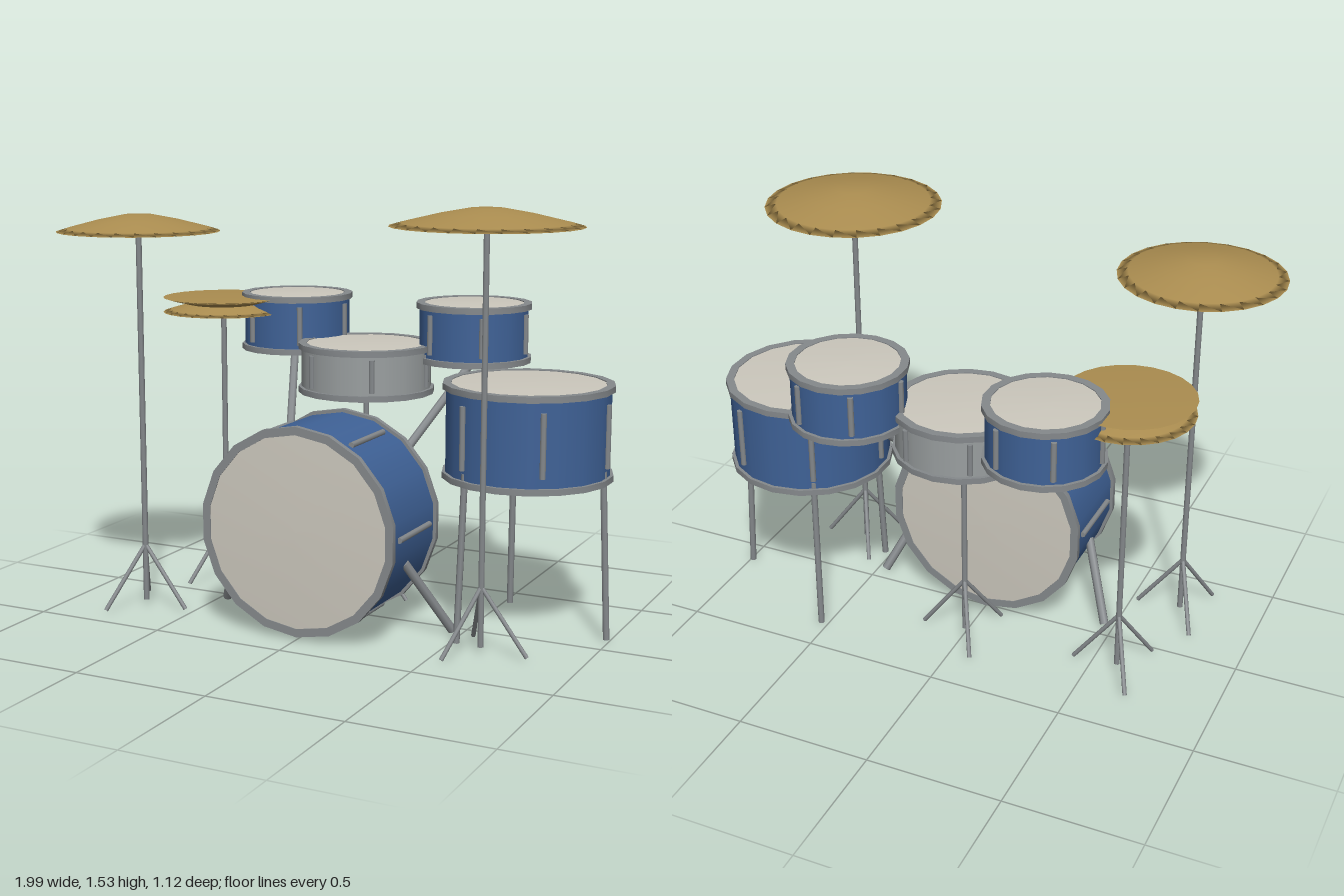
import * as THREE from 'three';
import { toCreasedNormals } from 'three/addons/utils/BufferGeometryUtils.js';

const mat = (name, color) => {
  const m = new THREE.MeshStandardMaterial({ color });
  m.name = name;
  return m;
};
const V = (x, y, z) => new THREE.Vector3(x, y, z);
const SIDES = 18;

export function createModel() {
  const blue = mat('blue shell', 0x3f6297);
  const steel = mat('steel shell', 0x9a9fa0);
  const chrome = mat('chrome', 0x85898c);
  const skin = mat('drum skin', 0xccc8bd);
  const brass = mat('brass', 0xab8d50);

  const root = new THREE.Group();
  root.name = 'drumKit';

  const add = (parent, name, geo, material) => {
    const m = new THREE.Mesh(geo, material);
    m.name = name;
    parent.add(m);
    return m;
  };
  const group = (name, x, y, z) => {
    const g = new THREE.Group();
    g.name = name;
    g.position.set(x, y, z);
    root.add(g);
    return g;
  };
  const lathe = (pts, sides = SIDES) =>
    new THREE.LatheGeometry(pts.map(p => new THREE.Vector2(p[0], p[1])), sides);

  // Round bar between two points
  const rod = (parent, name, a, b, r) => {
    const d = b.clone().sub(a);
    const m = add(parent, name, new THREE.CylinderGeometry(r, r, d.length(), 8), chrome);
    m.position.copy(a).add(b).multiplyScalar(0.5);
    m.quaternion.setFromUnitVectors(V(0, 1, 0), d.normalize());
    return m;
  };

  // Drum along y, centred on its origin: shell, two skins, two hoops, six lugs
  const drum = (name, x, y, z, R, h, shellMat, lugLength) => {
    const g = group(name, x, y, z);
    const r = R - 0.012, t = 0.022;
    add(g, 'shell', new THREE.CylinderGeometry(r, r, h - t, SIDES, 1, true), shellMat);
    const hoop = toCreasedNormals(lathe([
      [R - 0.03, -t / 2], [R, -t / 2], [R, t / 2], [R - 0.03, t / 2], [R - 0.03, -t / 2]
    ]), 0.6);
    for (const s of [1, -1]) {
      add(g, s > 0 ? 'upperHoop' : 'lowerHoop', hoop, chrome).position.y = s * (h - t) / 2;
      const head = add(g, s > 0 ? 'upperSkin' : 'lowerSkin',
        lathe([[R - 0.025, -0.012], [R - 0.025, 0], [0, 0.002]]), skin);
      head.position.y = s * (h / 2 - 0.003);
      if (s < 0) head.rotation.x = Math.PI;
    }
    for (let i = 0; i < 6; i++) {
      const a = i * Math.PI / 3;
      const px = Math.cos(a) * r, pz = Math.sin(a) * r;
      rod(g, 'lug', V(px, -lugLength / 2, pz), V(px, lugLength / 2, pz), 0.011);
    }
    return g;
  };

  // Bass drum lies on its side
  drum('bassDrum', 0, 0.4, 0.178, 0.38, 0.395, blue, 0.26).rotation.x = Math.PI / 2;
  drum('snareDrum', 0, 0.908, -0.2, 0.255, 0.185, steel, 0.12);
  drum('floorTom', 0.68, 0.745, -0.1, 0.305, 0.34, blue, 0.225);

  for (const s of [1, -1]) {
    const side = s > 0 ? 'left' : 'right';
    drum(side + 'Tom', s * 0.37, 1.045, -0.35, 0.215, 0.22, blue, 0.145);
    rod(root, side + 'TomMount', V(s * 0.375, 0.94, -0.34), V(s * 0.21, 0.58, 0.03), 0.016);
    rod(root, side + 'Spur', V(s * 0.34, 0.29, 0.2), V(s * 0.465, 0.02, 0.055), 0.017);
  }

  // Floor tom legs, splayed slightly outward
  for (let i = 0; i < 3; i++) {
    const a = i * Math.PI * 2 / 3, c = Math.cos(a), s = Math.sin(a);
    rod(root, 'floorTomLeg', V(0.68 + c * 0.28, 0.62, -0.1 + s * 0.28),
      V(0.68 + c * 0.308, 0.015, -0.1 + s * 0.308), 0.012);
  }

  // Pole with a tripod base
  const stand = (name, x, z, top) => {
    const g = group(name, x, 0, z);
    rod(g, 'pole', V(0, 0.035, 0), V(0, top, 0), 0.011);
    for (let i = 0; i < 3; i++) {
      const a = i * Math.PI * 2 / 3;
      rod(g, 'tripodLeg', V(0, 0.25, 0), V(Math.cos(a) * 0.17, 0.02, Math.sin(a) * 0.17), 0.008);
    }
  };

  // Cymbal with a flat underside and sloping top
  const cymbal = (name, x, y, z, R, h) => {
    const m = add(root, name, lathe([
      [0, 0], [R, 0], [R * 0.87, h * 0.2], [R * 0.5, h * 0.68], [R * 0.18, h], [0, h]
    ], 24), brass);
    m.position.set(x, y, z);
    return m;
  };

  stand('snareStand', 0, -0.2, 0.83);
  stand('leftCymbalStand', 0.64, 0.225, 1.5);
  stand('rightCymbalStand', -0.697, 0.262, 1.44);
  stand('hiHatStand', -0.6, -0.175, 1.11);
  cymbal('leftCymbal', 0.64, 1.482, 0.225, 0.327, 0.06);
  cymbal('rightCymbal', -0.697, 1.422, 0.262, 0.297, 0.06);
  cymbal('lowerHiHat', -0.6, 1.086, -0.175, 0.232, 0.05);
  cymbal('upperHiHat', -0.6, 1.142, -0.175, 0.232, 0.045).rotation.x = Math.PI;

  return root;
}
